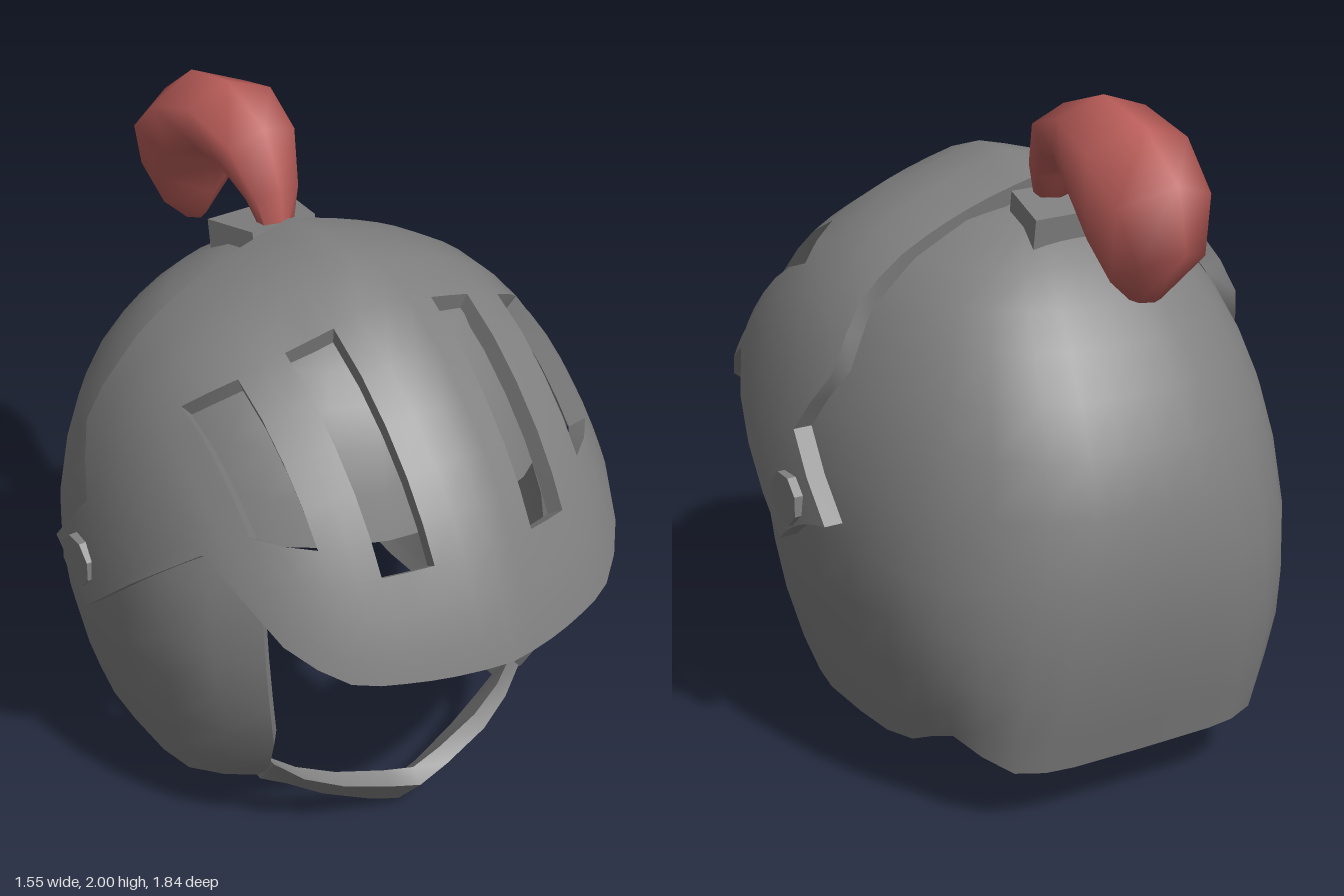
import * as THREE from 'three';
import { toCreasedNormals } from 'three/addons/utils/BufferGeometryUtils.js';

const steel = new THREE.MeshStandardMaterial({ color: 0x808080 });
steel.name = 'steel grey';
const red = new THREE.MeshStandardMaterial({ color: 0xb85c58 });
red.name = 'plume red';

const V = (x, y, z) => new THREE.Vector3(x, y, z);
const rad = THREE.MathUtils.degToRad;
const lerp = THREE.MathUtils.lerp;

// Linear lookup in rows sorted by their first number
function lookup(rows, key) {
  let i = 0;
  while (i < rows.length - 2 && rows[i + 1][0] < key) i++;
  const t = THREE.MathUtils.clamp((key - rows[i][0]) / (rows[i + 1][0] - rows[i][0]), 0, 1);
  return rows[i].map((a, k) => lerp(a, rows[i + 1][k], t));
}

// Closed solid from quads, turned outwards, with creased normals
function solid(name, quads, material, crease) {
  const pts = [];
  for (const [a, b, c, d] of quads) pts.push(a, b, c, a, c, d);
  let volume = 0;
  for (let i = 0; i < pts.length; i += 3) volume += pts[i].dot(pts[i + 1].clone().cross(pts[i + 2]));
  if (volume < 0) pts.reverse();
  const geo = toCreasedNormals(new THREE.BufferGeometry().setFromPoints(pts), crease);
  const mesh = new THREE.Mesh(geo, material);
  mesh.name = name;
  return mesh;
}

// Thick curved sheet on a grid, thickened towards target(p); cells where open(i, j) holds are left out
function sheet(name, nu, nv, point, target, thickness, open, wrap) {
  const outer = [], inner = [];
  for (let i = 0; i <= nu; i++) {
    outer.push([]); inner.push([]);
    for (let j = 0; j <= nv; j++) {
      const p = point(i, j);
      outer[i].push(p);
      inner[i].push(p.clone().add(target(p).sub(p).setLength(thickness)));
    }
  }
  const filled = (i, j) => {
    if (wrap) i = (i + nu) % nu;
    return i >= 0 && i < nu && j >= 0 && j < nv && !open(i, j);
  };
  const quads = [];
  for (let i = 0; i < nu; i++) for (let j = 0; j < nv; j++) {
    if (!filled(i, j)) continue;
    const c = [[i, j], [i + 1, j], [i + 1, j + 1], [i, j + 1]];
    quads.push(c.map(([a, b]) => outer[a][b]));
    quads.push(c.map(([a, b]) => inner[a][b]).reverse());
    [[0, -1], [1, 0], [0, 1], [-1, 0]].forEach(([di, dj], k) => {
      if (filled(i + di, j + dj)) return;
      const [a, b] = c[k], [e, f] = c[(k + 1) % 4];
      quads.push([outer[e][f], outer[a][b], inner[a][b], inner[e][f]]);
    });
  }
  return solid(name, quads, steel, 0.75);
}

// Solid through rings of equal point count, capped at both ends
function loft(name, rings, material, crease) {
  const quads = [], n = rings[0].length;
  const mid = r => r.reduce((s, p) => s.add(p), V(0, 0, 0)).divideScalar(n);
  const first = mid(rings[0]), last = mid(rings.at(-1));
  for (let k = 0; k < n; k++) {
    const m = (k + 1) % n;
    for (let i = 0; i < rings.length - 1; i++)
      quads.push([rings[i][k], rings[i][m], rings[i + 1][m], rings[i + 1][k]]);
    quads.push([rings[0][m], rings[0][k], first, first]);
    quads.push([rings.at(-1)[k], rings.at(-1)[m], last, last]);
  }
  return solid(name, quads, material, crease);
}

// Skull shell levels: y, half width, front reach, back reach
const levels = [
  [0.2, 0.58, 0.44, 0.77], [0.3, 0.615, 0.565, 0.8], [0.45, 0.655, 0.675, 0.845], [0.6, 0.685, 0.7, 0.87],
  [0.75, 0.7, 0.7, 0.885], [0.95, 0.69, 0.655, 0.865], [1.1, 0.655, 0.59, 0.815], [1.23, 0.61, 0.55, 0.745],
  [1.35, 0.55, 0.5, 0.66], [1.44, 0.49, 0.44, 0.575], [1.52, 0.41, 0.37, 0.49], [1.6, 0.26, 0.23, 0.35], [1.65, 0, 0, 0],
];
const FACE = 47;
function shellPoint(deg, y) {
  const [, w, f, b] = lookup(levels, y);
  const s = Math.sin(rad(deg)), c = Math.cos(rad(deg));
  const side = Math.abs(deg > 180 ? 360 - deg : deg);
  // hem dips at the sides and nape, with a notch between them
  const hem = -0.02 + 0.09 * Math.exp(-(((side - 134) / 14) ** 2)) + 0.04 * Math.max(0, (75 - side) / 30);
  const fade = THREE.MathUtils.clamp(1 - (y - 0.2) / 0.35, 0, 1);
  if (c > 0) return V(w * s, y + hem * fade, f * c);
  // the back grows squarer towards the hem
  const low = THREE.MathUtils.clamp((0.9 - y) / 0.7, 0, 1);
  const across = Math.sign(s) * Math.abs(s) ** lerp(0.78, 0.42, low);
  return V(w * across, y + hem * fade, -b * Math.abs(c) ** lerp(1, 0.75, low));
}

// Visor: polar surface round a sideways axis, given by its middle profile (z, y)
const AXIS_Y = 0.6, W = 0.772, N = 2.45;
const profile = [
  [0.92, 0.84], [0.86, 1.02], [0.78, 1.18], [0.66, 1.36], [0.51, 1.51], [0.33, 1.64], [0.13, 1.715],
  [-0.05, 1.73], [-0.2, 1.7], [-0.4, 1.62], [-0.6, 1.48], [-0.75, 1.25], [-0.85, 0.95],
].map(([z, y]) => [Math.atan2(y - AXIS_Y, z), Math.hypot(z, y - AXIS_Y)]);
const reach = a => lookup(profile, a)[1];
const byX = (x, deg) => [(1 - (x / W) ** N) ** (1 / N), rad(deg)];
const bySide = (z, y) => {
  const a = Math.atan2(y - AXIS_Y, z);
  return [Math.hypot(z, y - AXIS_Y) / reach(a), a];
};
function visorPoint(sign, [s, a]) {
  const x = W * Math.max(0, 1 - s ** N) ** (1 / N);
  const keel = 1 - 0.045 * Math.sin(Math.PI * Math.min(1, x / 0.68));
  const r = s * reach(a) * keel;
  return V(sign * x, AXIS_Y + r * Math.sin(a), r * Math.cos(a));
}
// Thickness points to the axis in the middle and straight sideways on the arms
function visorTarget(p) {
  const k = THREE.MathUtils.smoothstep(Math.abs(p.x), 0.5, 0.7);
  return V(0, lerp(AXIS_Y, p.y, k), lerp(0, p.z, k));
}
// Visor columns from the middle to the arm tip: brim end, rear end
const half = [
  [byX(0, 14.6), byX(0, 100.3)], [byX(0.08, 14.6), byX(0.08, 100.4)], [byX(0.16, 14.8), byX(0.16, 100.5)],
  [byX(0.23, 15.2), byX(0.23, 100.7)], [byX(0.3, 15.8), byX(0.3, 101)], [byX(0.36, 16.4), byX(0.36, 101.3)],
  [byX(0.43, 17.8), byX(0.43, 101.6)], [byX(0.5, 22), byX(0.5, 102.3)], [byX(0.56, 28), byX(0.56, 103)],
  [byX(0.615, 41), bySide(-0.21, 1.36)], [bySide(0.39, 1.13), bySide(-0.22, 1.25)],
  [bySide(0.27, 1.03), bySide(-0.165, 1.155)], [bySide(0.15, 0.93), bySide(-0.11, 1.06)],
  [bySide(0.03, 0.825), bySide(-0.205, 0.95)], [bySide(-0.08, 0.73), bySide(-0.3, 0.84)],
];
const visorRows = [0, 0.06, 0.14, 0.23, 0.31, 0.4, 0.5, 0.6, 0.7, 0.8, 0.9, 1];

export function createModel() {
  const helmet = new THREE.Group();
  helmet.name = 'helmet';

  // Skull shell with face opening
  const right = [0, 15, 30, FACE, 60, 75, 90, 98, 108, 118, 126, 134, 145, 157, 167, 174, 180];
  const angles = [...right.slice(1).reverse().map(a => -a), ...right];
  const faceOpen = (i, j) => Math.abs(angles[i] + angles[i + 1]) / 2 < FACE && levels[j + 1][0] <= 1.1;
  const core = () => V(0, 0.75, -0.1);
  helmet.add(sheet('skullShell', angles.length - 1, levels.length - 1,
    (i, j) => shellPoint(angles[i], levels[j][0]), core, 0.05, faceOpen, true));

  // Padding inside the nape, notched in the middle
  const padHalf = [98, 108, 118, 126, 134, 145, 157, 167, 174, 179.6];
  const padAngles = [...padHalf, ...padHalf.map(a => 360 - a).reverse()];
  const padRows = [0.25, 0.33, 0.45, 0.53];
  helmet.add(sheet('neckPad', padAngles.length - 1, 3, (i, j) => {
    const p = shellPoint(padAngles[i], padRows[j]);
    return p.add(core().sub(p).setLength(0.045));
  }, core, 0.02, (i, j) => i === padHalf.length - 1 && j > 0, false));

  // Chin guard: y, z of outer top, outer bottom, inner bottom, inner top at each x
  const chin = [
    [0, [0.13, 0.505], [0, 0.39], [0.03, 0.34], [0.17, 0.465]],
    [0.1, [0.165, 0.5], [0.04, 0.385], [0.065, 0.335], [0.195, 0.455]],
    [0.25, [0.215, 0.475], [0.11, 0.36], [0.125, 0.31], [0.235, 0.425]],
    [0.36, [0.26, 0.43], [0.18, 0.335], [0.185, 0.29], [0.275, 0.385]],
    [0.435, [0.32, 0.39], [0.215, 0.31], [0.22, 0.27], [0.32, 0.345]],
  ];
  const ring = (x, c) => c.map(([y, z]) => V(x, y, z));
  helmet.add(loft('chinGuard', [
    ...chin.slice(1).reverse().map(([x, ...c]) => ring(-x, c)), ...chin.map(([x, ...c]) => ring(x, c)),
  ], steel, 0.6));

  // Visor with four slots and side arms
  const m = half.length - 1;
  const slot = (i, j) => {
    const k = i >= m ? i - m : m - 1 - i;
    return ((k === 2 || k === 3) && j >= 3 && j < 8) || ((k === 6 || k === 7) && j >= 4 && j < 8);
  };
  helmet.add(sheet('visor', 2 * m, visorRows.length - 1, (i, j) => {
    const [lo, hi] = half[Math.abs(i - m)];
    return visorPoint(Math.sign(i - m), [0, 1].map(k => lerp(lo[k], hi[k], visorRows[j])));
  }, visorTarget, 0.055, slot, false));

  // Pivot bolts
  for (const side of [-1, 1]) {
    const barrel = new THREE.CylinderGeometry(0.077, 0.077, 0.05, 8).rotateY(Math.PI / 8).rotateZ(Math.PI / 2);
    const bolt = new THREE.Mesh(toCreasedNormals(barrel, 0.5), steel);
    bolt.name = side > 0 ? 'leftPivotBolt' : 'rightPivotBolt';
    bolt.position.set(side * 0.75, 0.865, -0.12);
    helmet.add(bolt);
  }

  // Plume socket, narrower in front
  const socket = new THREE.BoxGeometry(0.28, 0.1, 0.19);
  const pos = socket.attributes.position;
  for (let i = 0; i < pos.count; i++) if (pos.getZ(i) > 0) pos.setX(i, pos.getX(i) * 0.75);
  socket.computeVertexNormals();
  const holder = new THREE.Mesh(socket, steel);
  holder.name = 'plumeSocket';
  holder.position.set(0, 1.61, -0.31);
  holder.rotation.x = -0.15;
  helmet.add(holder);

  // Plume sections: outer z, y, inner z, y, half width
  const plume = [
    [-0.225, 1.64, -0.3, 1.64, 0.05], [-0.24, 1.77, -0.33, 1.72, 0.085], [-0.32, 1.93, -0.41, 1.785, 0.13],
    [-0.52, 2, -0.48, 1.8, 0.16], [-0.72, 1.96, -0.56, 1.72, 0.185], [-0.88, 1.84, -0.61, 1.61, 0.17],
    [-0.92, 1.67, -0.66, 1.52, 0.12], [-0.78, 1.5, -0.69, 1.49, 0.04],
  ].map(([oz, oy, iz, iy, w]) => Array.from({ length: 6 }, (_, k) => {
    const t = (1 - Math.cos(k * Math.PI / 3)) / 2;
    return V(w * Math.sin(k * Math.PI / 3), lerp(oy, iy, t), lerp(oz, iz, t));
  }));
  helmet.add(loft('plume', plume, red, 1.5));

  return helmet;
}
